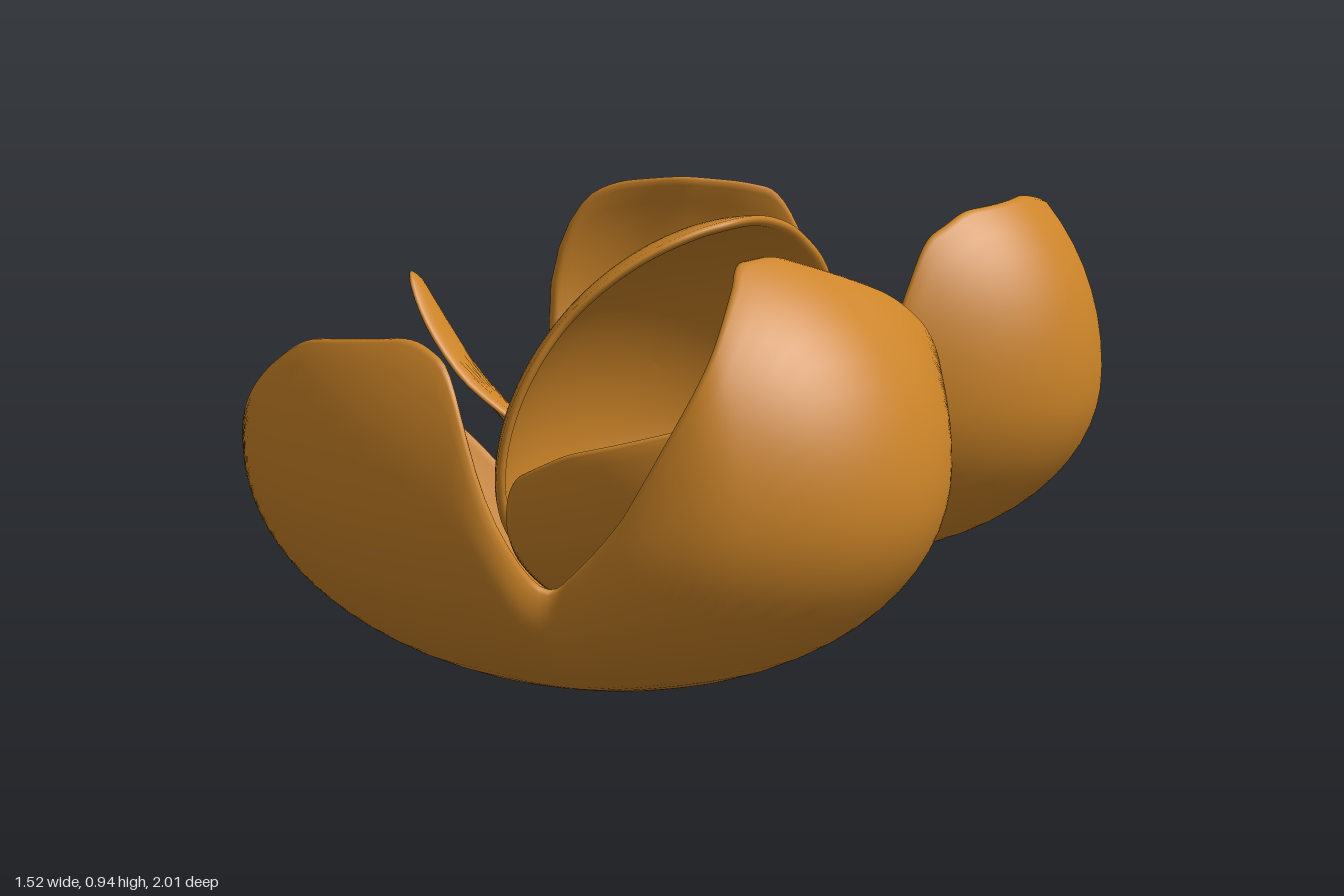
import * as THREE from 'three';

const RAD = Math.PI / 180;
const SEG = 240, STEPS = 24, THICK = 0.032;
const DOWN = new THREE.Vector3(0, -1, 0);

const peel = new THREE.MeshStandardMaterial({ color: 0xcc8428, side: THREE.DoubleSide });
peel.name = 'orange peel';

// Rim entries are [azimuth, end angle from the pole, outward flare, start angle], in degrees.
function rimAt(rim, deg) {
  const a = ((deg % 360) + 360) % 360;
  let i = rim.length - 1;
  while (rim[i][0] > a) i--;
  const p = rim[i], q = rim[(i + 1) % rim.length];
  const end = q[0] > p[0] ? q[0] : q[0] + 360;
  const k = (a - p[0]) / (end - p[0]);
  return [1, 2, 3].map((m) => THREE.MathUtils.lerp(p[m] ?? 0, q[m] ?? 0, k));
}

// Average nearby rim values so the petals have rounded corners
function softRim(rim, deg) {
  const sum = [0, 0, 0];
  for (let o = -3; o <= 3; o++) rimAt(rim, deg + o * 1.2).forEach((v, m) => { sum[m] += v / 7; });
  return sum;
}

// A thick ellipsoid shell around a pole, cut off along an uneven rim.
// A power below 1 makes the part beyond the equator boxier.
function shell(name, { c, rx, rz, low, high, power = 1, shear = 0, pole = DOWN, rim }) {
  // Profile runs up the outside, over a rounded lip and down the inside
  const profile = [];
  for (let j = 0; j <= STEPS; j++) profile.push([j / STEPS, 0]);
  profile.push([1.01, 0.25], [1.014, 0.5], [1.01, 0.75]);
  for (let j = STEPS; j >= 0; j--) profile.push([j / STEPS, 1]);

  const pos = [], index = [], n = profile.length;
  const turn = new THREE.Quaternion().setFromUnitVectors(DOWN, pole);
  const p = new THREE.Vector3();
  for (let i = 0; i < SEG; i++) {
    const deg = i * 360 / SEG, phi = deg * RAD;
    const [edge, flare, base] = softRim(rim, deg);
    for (const [t, depth] of profile) {
      const theta = (base + (edge - base) * t) * RAD;
      const d = depth * THICK * (1 - 0.35 * t ** 4);
      const h = -Math.cos(theta);
      const out = Math.sin(theta) ** (h > 0 ? power : 1) * (1 + flare * t ** 4);
      p.set(out * Math.cos(phi), h, out * Math.sin(phi)).applyQuaternion(turn);
      const x = p.x * (rx - d);
      pos.push(c[0] + x, c[1] + p.y * ((p.y < 0 ? low : high) - d) + shear * x, c[2] + p.z * (rz - d));
    }
    const next = (i + 1) % SEG;
    for (let j = 0; j < n; j++) {
      const k = (j + 1) % n;
      const a = i * n + j, b = next * n + j, a2 = i * n + k, b2 = next * n + k;
      index.push(a, a2, b, a2, b2, b);
    }
  }
  const geo = new THREE.BufferGeometry();
  geo.setAttribute('position', new THREE.Float32BufferAttribute(pos, 3));
  geo.setIndex(index);
  geo.computeVertexNormals();
  const mesh = new THREE.Mesh(geo, peel);
  mesh.name = name;
  return mesh;
}

export function createModel() {
  const group = new THREE.Group();
  group.name = 'peeledRind';

  // Front bowl: tall left wall, notch, front wall, low back edge
  group.add(shell('frontPeel', {
    c: [-0.005, 0.47, 0.455], rx: 0.765, rz: 0.54, low: 0.467, high: 0.56, power: 0.86,
    rim: [
      [0, 140], [12, 145], [28, 144], [40, 132], [49, 118], [56, 104, -0.06], [66, 82, -0.12],
      [78, 64, -0.12], [86, 94], [92, 117], [102, 123], [131, 118], [140, 111], [155, 97],
      [167, 81, 0.02], [182, 74], [203, 69], [215, 77, 0.08], [224, 86, 0.18],
      [231, 74, 0.06], [240, 54], [250, 47], [285, 48], [308, 60], [314, 72, 0.03],
      [320, 98, 0.08], [327, 117, 0.1], [340, 130, 0.06],
    ],
  }));

  // Back bowl: tall left wall, flared tip, side notch and rear flap
  group.add(shell('backPeel', {
    c: [-0.005, 0.5, -0.52], rx: 0.735, rz: 0.48, low: 0.45, high: 0.6, power: 0.86,
    rim: [
      [0, 134, 0.05], [30, 132, 0.05], [45, 125, 0.05], [55, 105, 0.03], [64, 60], [75, 44], [98, 42],
      [106, 52, 0.04], [115, 70, 0.2], [127, 97, 0.42], [137, 115, 0.52], [145, 95, 0.18],
      [154, 71, 0.05], [164, 61], [196, 60], [200, 96, 0.06], [204, 119, 0.14], [210, 125, 0.1],
      [225, 127], [242, 125, 0.04], [252, 122, 0.1], [259, 98, 0.05], [266, 46], [272, 62],
      [277, 92], [286, 108], [305, 118, 0.03], [327, 128, 0.05],
    ],
  }));

  // Inner cup: low rim in front, ending in a raised finger, open at the back
  group.add(shell('innerCup', {
    c: [0.1, 0.51, 0.19], rx: 0.415, rz: 0.43, low: 0.41, high: 0.4, shear: 0.33,
    rim: [
      [0, 92], [20, 92], [60, 90], [100, 92], [125, 88], [145, 60], [200, 45], [300, 42],
      [318, 45], [326, 72, 0, 58], [331, 97, 0, 80], [343, 95, 0, 68], [352, 92, 0, 30], [358, 92],
    ],
  }));

  // Dome petal: a leaning half shell that covers the back of the cup
  group.add(shell('domePetal', {
    c: [0.1, 0.51, 0.19], rx: 0.41, rz: 0.43, low: 0.36, high: 0.41, shear: 0.37,
    pole: new THREE.Vector3(-0.6, 0.35, -0.7).normalize(),
    rim: [
      [0, 62], [20, 78], [49, 95], [80, 92], [110, 87], [139, 87], [185, 80], [222, 84],
      [238, 83], [256, 72], [275, 65], [319, 60],
    ],
  }));

  return group;
}
